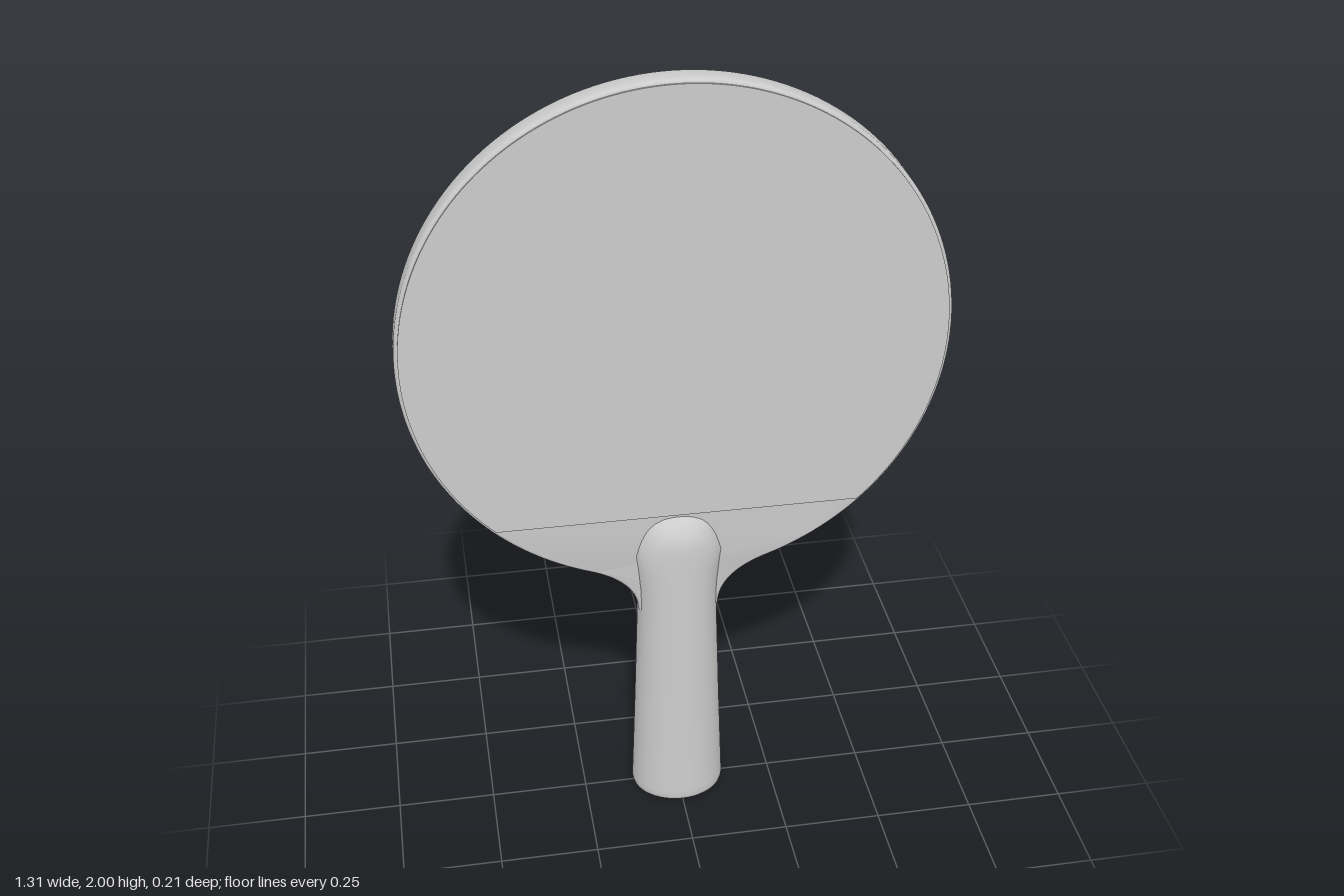
import * as THREE from 'three';
import { toCreasedNormals } from 'three/addons/utils/BufferGeometryUtils.js';

const CENTRE_Y = 1.345;
const RADIUS = 0.655;

const material = new THREE.MeshStandardMaterial({ color: 0xcccccc });

function addMesh(group, name, geometry, crease = 0.6) {
  const mesh = new THREE.Mesh(toCreasedNormals(geometry, crease), material);
  mesh.name = name;
  group.add(mesh);
  return mesh;
}

// Extrudes a shape between two z planes, with a bevel that stays inside the outline
function slab(shape, z0, z1, bevel, bevelSegments) {
  const geometry = new THREE.ExtrudeGeometry(shape, {
    depth: z1 - z0 - 2 * bevel,
    bevelEnabled: bevel > 0,
    bevelThickness: bevel,
    bevelSize: bevel,
    bevelOffset: -bevel,
    bevelSegments,
    curveSegments: 72,
  });
  return geometry.translate(0, 0, z0 + bevel);
}

// Round blade flowing through concave fillets into the neck
function bladeShape() {
  const a = THREE.MathUtils.degToRad(-70);
  const x = RADIUS * Math.cos(a);
  const y = CENTRE_Y + RADIUS * Math.sin(a);
  const shape = new THREE.Shape();
  shape.moveTo(0.09, 0.56);
  shape.lineTo(0.102, 0.6);
  shape.quadraticCurveTo(0.108, 0.687, x, y);
  shape.absarc(0, CENTRE_Y, RADIUS, a, Math.PI - a, false);
  shape.quadraticCurveTo(-0.108, 0.687, -0.102, 0.6);
  shape.lineTo(-0.09, 0.56);
  return shape;
}

// Circular pad cut off by a straight lower edge
function padShape() {
  const r = 0.646;
  const a = Math.asin((0.88 - CENTRE_Y) / r);
  const shape = new THREE.Shape();
  shape.absarc(0, CENTRE_Y, r, a, Math.PI - a, false);
  shape.closePath();
  return shape;
}

// Elliptical grip: rows of [y, half width, half depth], tapering up to a rounded tip
function gripGeometry() {
  const rows = [
    [0, 0.0005, 0.0005], [0, 0.115, 0.098], [0.004, 0.119, 0.102], [0.012, 0.121, 0.104],
    [0.03, 0.121, 0.103], [0.3, 0.111, 0.094], [0.58, 0.102, 0.085], [0.66, 0.104, 0.083],
    [0.72, 0.11, 0.081], [0.765, 0.116, 0.079], [0.79, 0.109, 0.078], [0.81, 0.102, 0.076],
    [0.83, 0.093, 0.07], [0.845, 0.084, 0.062], [0.858, 0.072, 0.053], [0.868, 0.056, 0.041],
    [0.873, 0.04, 0.03], [0.876, 0.0005, 0.0005],
  ];
  const geometry = new THREE.LatheGeometry(rows.map(([y, w]) => new THREE.Vector2(w, y)), 48);
  const pos = geometry.attributes.position;
  for (let i = 0; i < pos.count; i++) {
    const [, w, d] = rows[i % rows.length];
    pos.setZ(i, pos.getZ(i) * d / w);
  }
  return geometry;
}

export function createModel() {
  const group = new THREE.Group();
  group.name = 'paddle';

  addMesh(group, 'blade', slab(bladeShape(), -0.031, 0.031, 0.008, 3));

  // One thin pad on each face
  addMesh(group, 'frontPad', slab(padShape(), 0.028, 0.035, 0, 0));
  addMesh(group, 'backPad', slab(padShape(), -0.035, -0.028, 0, 0));

  addMesh(group, 'handle', gripGeometry(), 0.75);
  return group;
}
